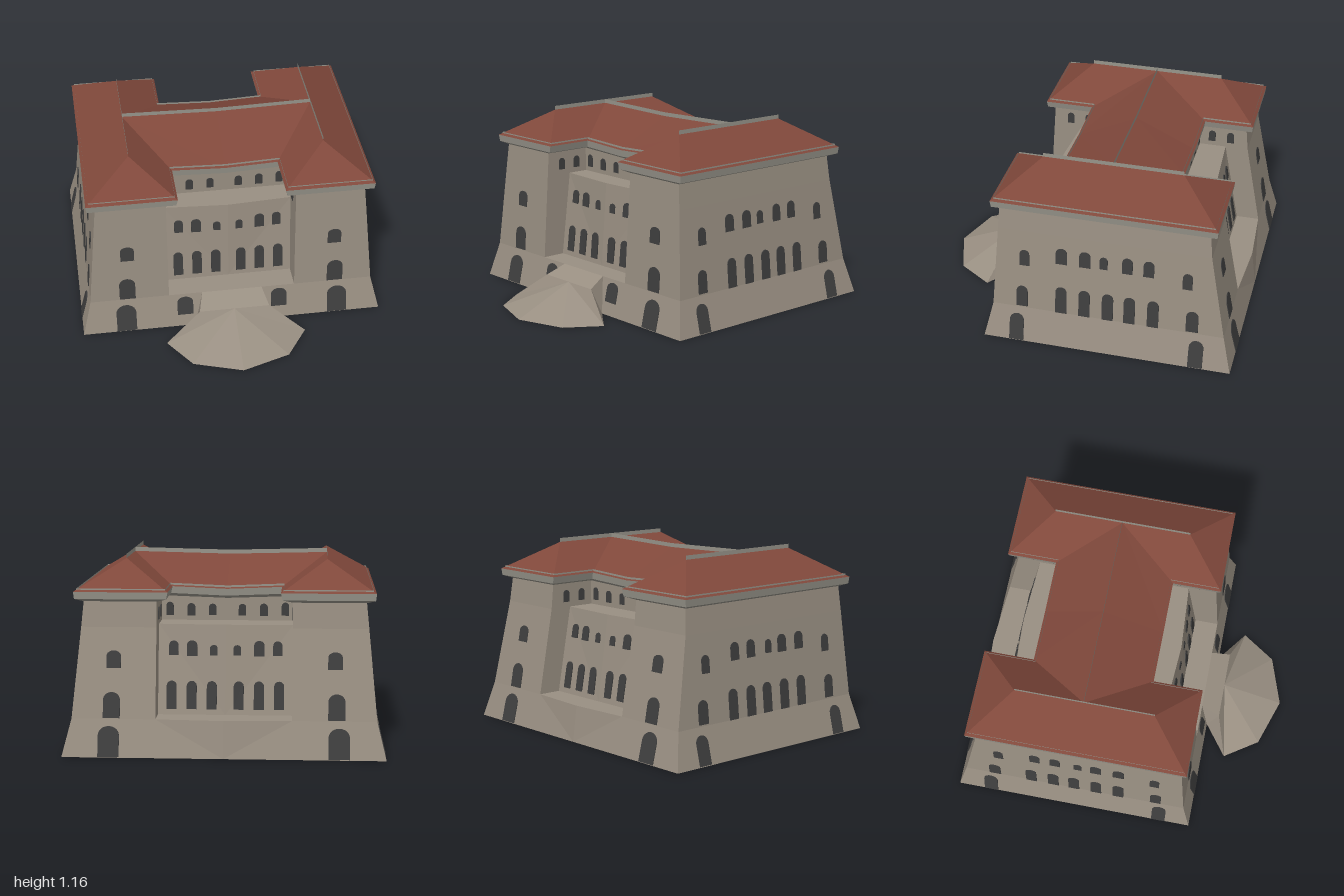
import * as THREE from 'three';

const side = THREE.DoubleSide;
const stone = new THREE.MeshStandardMaterial({ name: 'wallStone', color: 0x998f82, side });
const trim = new THREE.MeshStandardMaterial({ name: 'corniceStone', color: 0x97948a, side });
const tile = new THREE.MeshStandardMaterial({ name: 'roofTile', color: 0x80483b, side });
const glass = new THREE.MeshStandardMaterial({ name: 'darkGlass', color: 0x3e3e3e, side });

// Flat-sided mesh from polygons, each a fan of [x, y, z] corners
function polys(name, material, list) {
  const pos = [];
  for (const p of list)
    for (let i = 1; i < p.length - 1; i++) pos.push(...p[0], ...p[i], ...p[i + 1]);
  const g = new THREE.BufferGeometry();
  g.setAttribute('position', new THREE.Float32BufferAttribute(pos, 3));
  g.computeVertexNormals();
  const m = new THREE.Mesh(g, material);
  m.name = name;
  return m;
}

// Linear profile lookup: height -> distance from the centre
const profile = (pts) => (y) => {
  let i = 0;
  while (i < pts.length - 2 && y > pts[i + 1][0]) i++;
  const [a, b] = [pts[i], pts[i + 1]];
  return a[1] + (b[1] - a[1]) * (y - a[0]) / (b[0] - a[0]);
};
const X = profile([[0, 0.95], [0.22, 0.895], [0.75, 0.845], [0.9, 0.83]]);
const F = profile([[0, 0.54], [0.22, 0.49], [0.75, 0.455], [0.9, 0.445]]);
const B = profile([[0, 1.0], [0.22, 0.945], [0.75, 0.845], [0.9, 0.83]]);

// Wall faces: (along, height, outward) -> point
const bulge = (u) => 1 - Math.abs(u) / 0.4;
const rise = (y) => (y - 0.22) / 0.53;
const outer = (u, y, d) => [X(y) + d, y, u];
const front = (u, y, d) => [u, y, F(y) + d];
const back = (u, y, d) => [u, y, -B(y) - d];
const inner = (u, y, d) => [0.4 - d, y, u];
const facadeZ = (u, y) => 0.34 + rise(y) * (0.025 * bulge(u) - 0.065);
const gardenZ = (u, y) => -0.8 + rise(y) * (0.1 - 0.02 * bulge(u));
const facade = (u, y, d) => [u, y, facadeZ(u, y) + d];
const garden = (u, y, d) => [u, y, gardenZ(u, y) - d];
const upperFront = (u, y, d) => [u, y, 0.14 + d];
const upperBack = (u, y, d) => [u, y, -0.53 - d];
const backPlinth = (u, y, d) => [u, y, -B(y) - 0.025 * bulge(u) * y / 0.22 - d];

// Wall spanning range(y) = [from, to] at each listed height
function wall(name, face, range, ys) {
  const list = [];
  for (let i = 0; i < ys.length - 1; i++) {
    const [a, b] = range(ys[i]), [c, d] = range(ys[i + 1]);
    list.push([face(a, ys[i], 0), face(b, ys[i], 0), face(d, ys[i + 1], 0), face(c, ys[i + 1], 0)]);
  }
  return polys(name, stone, list);
}

// Arched thin window pressed onto a wall face
function windowPane(face, u, y, w, h) {
  const r = Math.min(w / 2, h * 0.3);
  const s = new THREE.Shape();
  s.moveTo(-w / 2, -h / 2);
  s.lineTo(w / 2, -h / 2);
  s.lineTo(w / 2, h / 2 - r);
  s.absellipse(0, h / 2 - r, w / 2, r, 0, Math.PI, false);
  s.closePath();
  const g = new THREE.ExtrudeGeometry(s, { depth: 0.009, bevelEnabled: false, curveSegments: 5 });
  const p = g.attributes.position;
  for (let i = 0; i < p.count; i++)
    p.setXYZ(i, ...face(u + p.getX(i), y + p.getY(i), p.getZ(i) - 0.0045));
  g.computeVertexNormals();
  const m = new THREE.Mesh(g, glass);
  m.name = 'window';
  return m;
}

// Closed band lofted through rings of matching outlines
function band(name, material, rings) {
  const list = [];
  for (let k = 0; k < rings.length - 1; k++) {
    const [a, b] = [rings[k], rings[k + 1]];
    for (let i = 0; i < a.length - 1; i++) list.push([a[i], a[i + 1], b[i + 1], b[i]]);
  }
  return polys(name, material, list);
}

// Half outline of the H plan, sagging a little at the middle
const outline = (y, xi, xo, zc, zf, zcb, zb) => [
  [0, y - 0.014, zc], [xi, y, zc], [xi, y, zf], [xo, y, zf],
  [xo, y, zb], [xi, y, zb], [xi, y, zcb], [0, y - 0.014, zcb]];

function buildHalf() {
  const half = new THREE.Group();
  const ys = [0, 0.22, 0.75, 0.9], low = [0, 0.22], mid = [0.22, 0.75], top = [0.75, 0.9];
  const centre = () => [0, 0.4];

  // Wing walls
  half.add(
    wall('wingSide', outer, (y) => [F(y), -B(y)], ys),
    wall('wingFront', front, (y) => [0.4, X(y)], ys),
    wall('wingBack', back, (y) => [X(y), 0.4], ys),
    wall('wingInnerFront', inner, (y) => [facadeZ(0.4, y), F(y)], mid),
    wall('wingInnerFrontTop', inner, (y) => [0.14, F(y)], top),
    wall('wingInnerBack', inner, (y) => [-B(y), gardenZ(0.4, y)], mid),
    wall('wingInnerBackTop', inner, (y) => [-B(y), -0.53], top));

  // Central block, plinths, terraces and ledges
  half.add(
    wall('frontPlinth', front, centre, low),
    wall('backPlinth', backPlinth, centre, low),
    wall('frontFacade', facade, centre, mid),
    wall('backFacade', garden, centre, mid),
    wall('upperFrontWall', upperFront, centre, top),
    wall('upperBackWall', upperBack, centre, top));
  const flat = (name, y, f1, f2) => polys(name, stone, [[f1(0, y, 0), f1(0.4, y, 0), f2(0.4, y, 0), f2(0, y, 0)]]);
  half.add(
    flat('frontTerrace', 0.22, front, facade),
    flat('backTerrace', 0.22, garden, backPlinth),
    flat('frontLedge', 0.75, facade, upperFront),
    flat('backLedge', 0.75, upperBack, garden));

  // Entrance ramp fanning out to the ground
  const t0 = [0, 0.22, 0.49], t1 = [0.19, 0.22, 0.49], m0 = [0, 0.165, 0.61], m1 = [0.22, 0.165, 0.61];
  const g1 = [0.44, 0, 0.69], g2 = [0.3, 0, 0.9], g3 = [0, 0, 1], foot = [0.24, 0, 0.54];
  half.add(polys('ramp', stone, [[t0, m0, m1, t1], [m0, g3, g2, g1, m1], [t1, m1, foot], [m1, g1, foot]]));

  // Cornice under the eaves, and the thin lip above it
  half.add(
    band('cornice', trim, [
      outline(0.9, 0.4, 0.83, 0.14, 0.445, -0.53, -0.83),
      outline(0.918, 0.34, 0.88, 0.175, 0.48, -0.565, -0.875),
      outline(0.96, 0.33, 0.885, 0.18, 0.485, -0.57, -0.88)]),
    band('eaveLip', trim, [
      outline(0.96, 0.345, 0.868, 0.165, 0.468, -0.555, -0.863),
      outline(0.979, 0.345, 0.868, 0.165, 0.468, -0.555, -0.863)]));

  // Hipped wing roof and half of the central roof
  const e = 0.96, r = 1.135, sag = 0.014;
  const rf = [0.6, r, 0.235], rc = [0.6, r, -0.195], rb = [0.6, r, -0.62];
  const of = [0.885, e, 0.485], ob = [0.885, e, -0.88], nf = [0.33, e, 0.485], nb = [0.33, e, -0.88];
  const vf = [0.33, e, 0.18], vb = [0.33, e, -0.57];
  const cr = [0, r - sag, -0.195], cf = [0, e - sag, 0.18], cb = [0, e - sag, -0.57];
  half.add(
    polys('wingRoof', tile, [[of, ob, rb, rf], [nf, of, rf], [ob, nb, rb], [vf, nf, rf, rc], [nb, vb, rc, rb]]),
    polys('centralRoof', tile, [[cf, vf, rc, cr], [vb, cb, cr, rc]]));

  // Ridge crests
  const up = ([x, y, z]) => [x, y + 0.025, z];
  half.add(polys('ridgeCrest', trim, [[rf, rb, up(rb), up(rf)], [cr, rc, up(rc), up(cr)]]));

  // Windows: [along, height, width, height of pane]
  const put = (faces, list) => {
    for (const f of faces) for (const w of list) half.add(windowPane(f, ...w));
  };
  put([front, back], [[0.65, 0.565, 0.085, 0.1], [0.66, 0.3, 0.1, 0.15], [0.675, 0.092, 0.125, 0.175]]);
  put([front], [[0.3, 0.14, 0.1, 0.12]]);
  put([facade, garden], [
    [0.08, 0.335, 0.06, 0.165], [0.2, 0.335, 0.06, 0.165], [0.32, 0.335, 0.06, 0.165],
    [0.07, 0.6, 0.045, 0.06], [0.2, 0.61, 0.062, 0.09], [0.31, 0.61, 0.055, 0.085]]);
  put([upperFront, upperBack], [[0.09, 0.815, 0.045, 0.07], [0.22, 0.815, 0.048, 0.075], [0.35, 0.82, 0.045, 0.08]]);
  put([inner], [0.22, 0.34, -0.61, -0.73].map((z) => [z, 0.82, 0.045, 0.075]));
  put([outer], [0.06, -0.085, -0.23, -0.365, -0.51].map((z) => [z, 0.31, 0.07, 0.18]));
  put([outer], [[0.06, 0.615, 0.07, 0.105], [-0.085, 0.615, 0.07, 0.105], [-0.2, 0.61, 0.05, 0.08],
    [-0.345, 0.615, 0.065, 0.105], [-0.475, 0.615, 0.065, 0.105]]);
  put([outer], [[0.29, 0.57, 0.06, 0.105], [0.305, 0.3, 0.07, 0.14], [0.335, 0.09, 0.09, 0.17],
    [-0.71, 0.57, 0.06, 0.105], [-0.75, 0.3, 0.075, 0.14], [-0.785, 0.09, 0.09, 0.17]]);
  return half;
}

export function createModel() {
  const model = new THREE.Group();
  model.name = 'palace';
  const left = buildHalf();
  left.name = 'leftHalf';
  const right = left.clone();
  right.name = 'rightHalf';
  right.scale.x = -1;
  model.add(left, right);
  return model;
}
